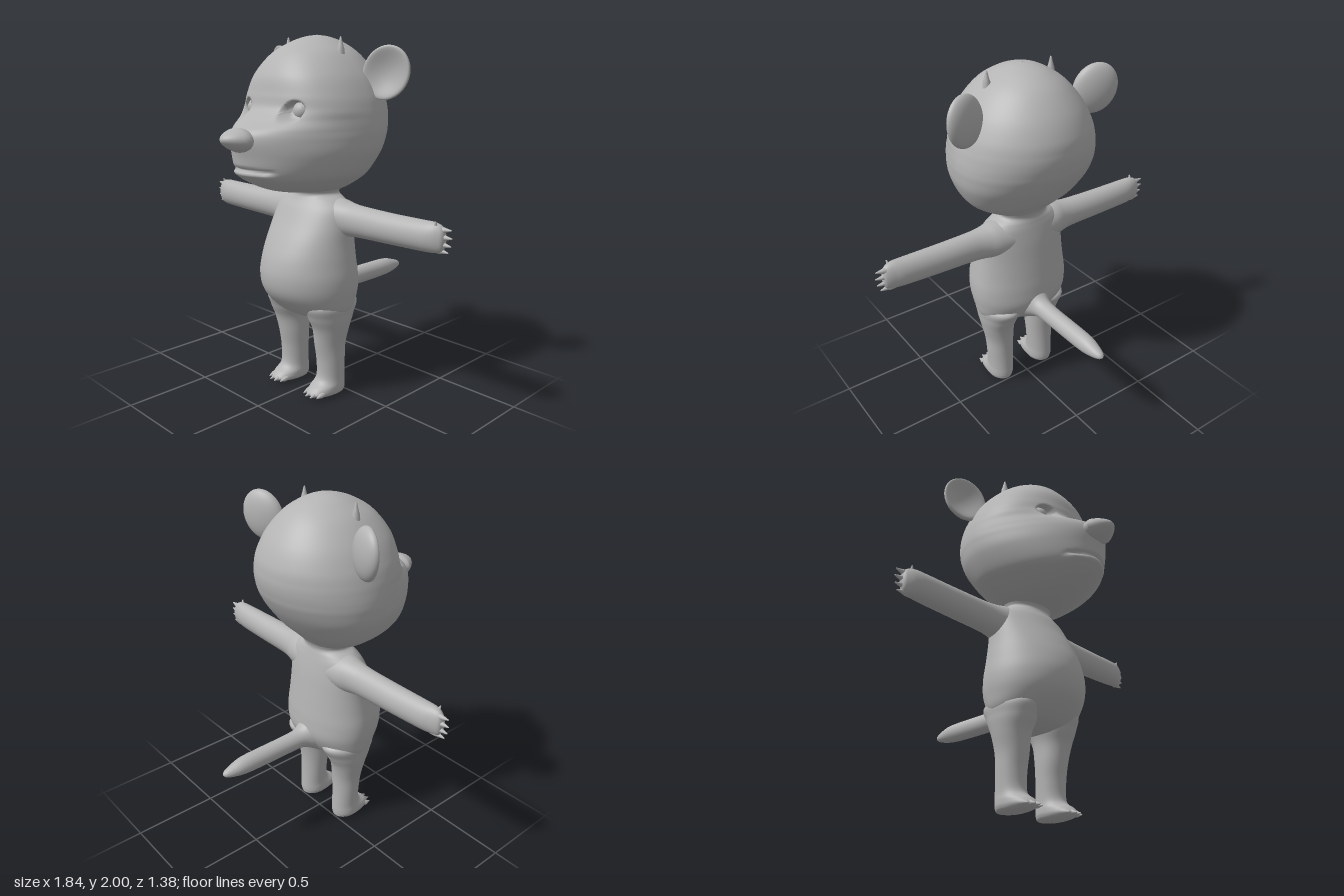
import * as THREE from 'three';
import { mergeGeometries } from 'three/addons/utils/BufferGeometryUtils.js';

// Smooth skin through rows of [y, centreX, halfWidth, zBack, zFront, zWidest, frontRoundness]
function loft(rows, around, steps, deform) {
  const curve = new THREE.CubicInterpolant(rows.map((_, i) => i), rows.flat(), 7);
  const pos = [], index = [], p = new THREE.Vector3();
  for (let j = 0; j <= steps; j++) {
    const [y, cx, w, zb, zf, zc, round] = curve.evaluate((j / steps) * (rows.length - 1));
    for (let i = 0; i < around; i++) {
      const t = (i / around) * Math.PI * 2, c = Math.cos(t), s = Math.sin(t);
      const e = s > 0 ? 2 / round : 1;
      const z = s > 0 ? zc + (zf - zc) * Math.pow(s, e) : zc + (zc - zb) * s;
      p.set(cx + w * Math.sign(c) * Math.pow(Math.abs(c), e), y, z);
      if (deform) deform(p);
      pos.push(p.x, p.y, p.z);
      if (j < steps) {
        const a = j * around + i, b = j * around + ((i + 1) % around);
        index.push(a, a + around, b, b, a + around, b + around);
      }
    }
  }
  const geo = new THREE.BufferGeometry();
  geo.setAttribute('position', new THREE.Float32BufferAttribute(pos, 3));
  geo.setIndex(index);
  geo.computeVertexNormals();
  return geo;
}

// Copy of a geometry reflected to the other side
function mirrored(geo) {
  const g = geo.clone();
  for (const name of ['position', 'normal']) {
    const a = g.attributes[name];
    for (let i = 0; i < a.count; i++) a.setX(i, -a.getX(i));
  }
  const id = g.index.array;
  for (let i = 0; i < id.length; i += 3) [id[i], id[i + 1]] = [id[i + 1], id[i]];
  return g;
}

// Rounded spike standing on y = 0
function spike(r, len) {
  const profile = [[r * 1.15, -r], [r, len * 0.2], [r * 0.62, len * 0.5], [r * 0.35, len * 0.8], [r * 0.2, len * 0.95], [0, len]];
  return new THREE.LatheGeometry(profile.map(([x, y]) => new THREE.Vector2(x, y)), 14);
}

const smooth = THREE.MathUtils.smoothstep;

// Eye sockets, mouth groove and lower lip pressed into the head
function carveFace(p) {
  if (p.z < 0.15) return;
  const ax = Math.abs(p.x);
  const r = Math.hypot((ax - 0.18) / 0.053, (p.y - 1.622) / 0.053);
  p.z -= 0.05 * (1 - smooth(r, 0.75, 1.08));
  const d = p.y - (1.33 - 0.35 * p.x * p.x);
  const fade = 1 - smooth(ax, 0.12, 0.18);
  p.z += fade * (0.012 * Math.exp(-(((d + 0.025) / 0.016) ** 2)) - 0.022 * Math.exp(-((d / 0.008) ** 2)));
}

export function createModel() {
  const model = new THREE.Group();
  const grey = new THREE.MeshStandardMaterial({ color: 0xb4b4b4 });
  grey.name = 'clay grey';

  const add = (name, geo) => {
    const mesh = new THREE.Mesh(geo, grey);
    mesh.name = name;
    model.add(mesh);
  };
  const pair = (name, geo) => {
    add('left' + name, geo);
    add('right' + name, mirrored(geo));
  };

  // Head with muzzle
  add('head', loft([
    [1.165, 0, 0.001, 0.05, 0.06, 0.055, 2],
    [1.178, 0, 0.14, -0.06, 0.25, 0.06, 2],
    [1.2, 0, 0.205, -0.085, 0.375, 0.06, 2],
    [1.25, 0, 0.287, -0.135, 0.495, 0.05, 1.9],
    [1.3, 0, 0.34, -0.185, 0.56, 0.05, 1.8],
    [1.4, 0, 0.39, -0.26, 0.585, 0.04, 1.7],
    [1.48, 0, 0.404, -0.305, 0.6, 0.04, 1.6],
    [1.53, 0, 0.404, -0.322, 0.575, 0.04, 1.62],
    [1.58, 0, 0.397, -0.333, 0.485, 0.04, 1.85],
    [1.63, 0, 0.386, -0.335, 0.42, 0.04, 2.2],
    [1.7, 0, 0.362, -0.325, 0.4, 0.04, 2.3],
    [1.8, 0, 0.308, -0.28, 0.37, 0.04, 2.3],
    [1.9, 0, 0.222, -0.2, 0.295, 0.04, 2.2],
    [1.96, 0, 0.135, -0.115, 0.2, 0.04, 2],
    [1.99, 0, 0.065, -0.03, 0.11, 0.04, 2],
    [2.0, 0, 0.001, 0.039, 0.041, 0.04, 2],
  ], 200, 150, carveFace));

  // Nose, drawn out to a blunt tip
  const nose = new THREE.SphereGeometry(1, 32, 24);
  const np = nose.attributes.position;
  for (let i = 0; i < np.count; i++) {
    const z = np.getZ(i), k = z > 0 ? 1 - 0.35 * z : 1;
    np.setXYZ(i, np.getX(i) * 0.1 * k, np.getY(i) * 0.062 * k + 0.008 * z, z * 0.095);
  }
  nose.computeVertexNormals();
  add('nose', nose.translate(0, 1.483, 0.595));

  // Eyes sunk in their sockets
  pair('Eye', new THREE.SphereGeometry(0.05, 24, 16).translate(0.18, 1.622, 0.315));

  // Ears: flattened balls with a dished front
  const ear = new THREE.SphereGeometry(1, 40, 32);
  const ep = ear.attributes.position;
  for (let i = 0; i < ep.count; i++) {
    const x = ep.getX(i), y = ep.getY(i), z = ep.getZ(i);
    if (z > 0) ep.setZ(i, z - 1.3 * (1 - x * x - y * y));
  }
  ear.scale(0.125, 0.142, 0.055);
  ear.computeVertexNormals();
  ear.rotateZ(-0.45).rotateY(0.36).translate(0.408, 1.808, -0.055);
  pair('Ear', ear);

  // Small horn nubs
  pair('Horn', spike(0.02, 0.078).translate(0.2, 1.912, 0.065));

  // Torso with belly and neck
  add('torso', loft([
    [0.44, 0, 0.001, 0.08, 0.09, 0.085, 2],
    [0.455, 0, 0.14, 0, 0.18, 0.08, 2],
    [0.5, 0, 0.262, -0.065, 0.26, 0.08, 2],
    [0.6, 0, 0.294, -0.122, 0.35, 0.08, 2],
    [0.7, 0, 0.3, -0.125, 0.376, 0.08, 2],
    [0.8, 0, 0.287, -0.115, 0.36, 0.08, 2],
    [0.9, 0, 0.272, -0.103, 0.315, 0.07, 2.1],
    [1.0, 0, 0.262, -0.09, 0.257, 0.06, 2.1],
    [1.08, 0, 0.248, -0.075, 0.212, 0.05, 2],
    [1.125, 0, 0.2, -0.065, 0.18, 0.05, 2],
    [1.155, 0, 0.148, -0.06, 0.17, 0.05, 2],
    [1.19, 0, 0.155, -0.07, 0.19, 0.05, 2],
    [1.25, 0, 0.17, -0.08, 0.2, 0.05, 2],
  ], 80, 72));

  // Tail: built upright, then laid backwards
  add('tail', loft([
    [0.04, 0, 0.12, 0.46, 0.72, 0.585, 2],
    [0.1, 0, 0.085, 0.5, 0.69, 0.585, 2],
    [0.16, 0, 0.058, 0.525, 0.645, 0.585, 2],
    [0.25, 0, 0.052, 0.527, 0.636, 0.582, 2],
    [0.4, 0, 0.051, 0.527, 0.635, 0.582, 2],
    [0.55, 0, 0.049, 0.532, 0.632, 0.58, 2],
    [0.63, 0, 0.036, 0.545, 0.612, 0.577, 2],
    [0.675, 0, 0.02, 0.56, 0.595, 0.576, 2],
    [0.69, 0, 0.001, 0.575, 0.577, 0.576, 2],
  ], 32, 48).rotateX(-Math.PI / 2));

  // Legs and feet
  pair('Leg', loft([
    [0, 0.15, 0.001, 0.08, 0.09, 0.085, 2],
    [0.006, 0.15, 0.058, 0.008, 0.2, 0.085, 2],
    [0.025, 0.15, 0.076, -0.003, 0.245, 0.085, 2.4],
    [0.055, 0.15, 0.079, -0.005, 0.225, 0.085, 2.3],
    [0.1, 0.15, 0.076, -0.003, 0.17, 0.08, 2],
    [0.2, 0.15, 0.08, 0, 0.165, 0.08, 2],
    [0.3, 0.15, 0.086, -0.003, 0.18, 0.085, 2],
    [0.4, 0.158, 0.099, -0.02, 0.2, 0.085, 2],
    [0.48, 0.155, 0.115, -0.055, 0.235, 0.085, 2],
    [0.56, 0.15, 0.115, -0.08, 0.25, 0.085, 2],
    [0.6, 0.15, 0.001, 0.08, 0.09, 0.085, 2],
  ], 48, 60));

  // Toe claws
  const toes = [0.1, 0.135, 0.17, 0.202].map((x, i) =>
    spike(0.014, 0.04).rotateX(Math.PI / 2 + 0.15).translate(x, 0.03, [0.21, 0.228, 0.226, 0.206][i]));
  pair('ToeClaws', mergeGeometries(toes));

  // Arms: built upright, then swung out sideways
  pair('Arm', loft([
    [0.1, -1.03, 0.105, -0.07, 0.17, 0.045, 2],
    [0.2, -1.03, 0.105, -0.055, 0.145, 0.045, 2],
    [0.27, -1.03, 0.093, -0.035, 0.125, 0.045, 2],
    [0.35, -1.03, 0.086, -0.025, 0.117, 0.045, 2],
    [0.55, -1.03, 0.081, -0.021, 0.115, 0.045, 2],
    [0.75, -1.033, 0.079, -0.014, 0.107, 0.045, 2],
    [0.82, -1.035, 0.077, -0.002, 0.095, 0.045, 2],
    [0.86, -1.032, 0.066, 0.01, 0.075, 0.042, 2],
    [0.875, -1.03, 0.04, 0.022, 0.06, 0.04, 2],
    [0.879, -1.03, 0.001, 0.039, 0.041, 0.04, 2],
  ], 40, 60).rotateZ(-Math.PI / 2));

  // Finger claws and thumb claw
  const fingers = [1.078, 1.042, 1.006, 0.975].map((y, i) =>
    spike(0.017, 0.066).rotateZ(-Math.PI / 2 + (1.5 - i) * 0.06)
      .translate([0.85, 0.855, 0.85, 0.835][i], y, 0.038));
  fingers.push(spike(0.016, 0.05).rotateZ(-0.15).rotateX(0.3).translate(0.83, 1.075, 0.05));
  pair('HandClaws', mergeGeometries(fingers));

  return model;
}
